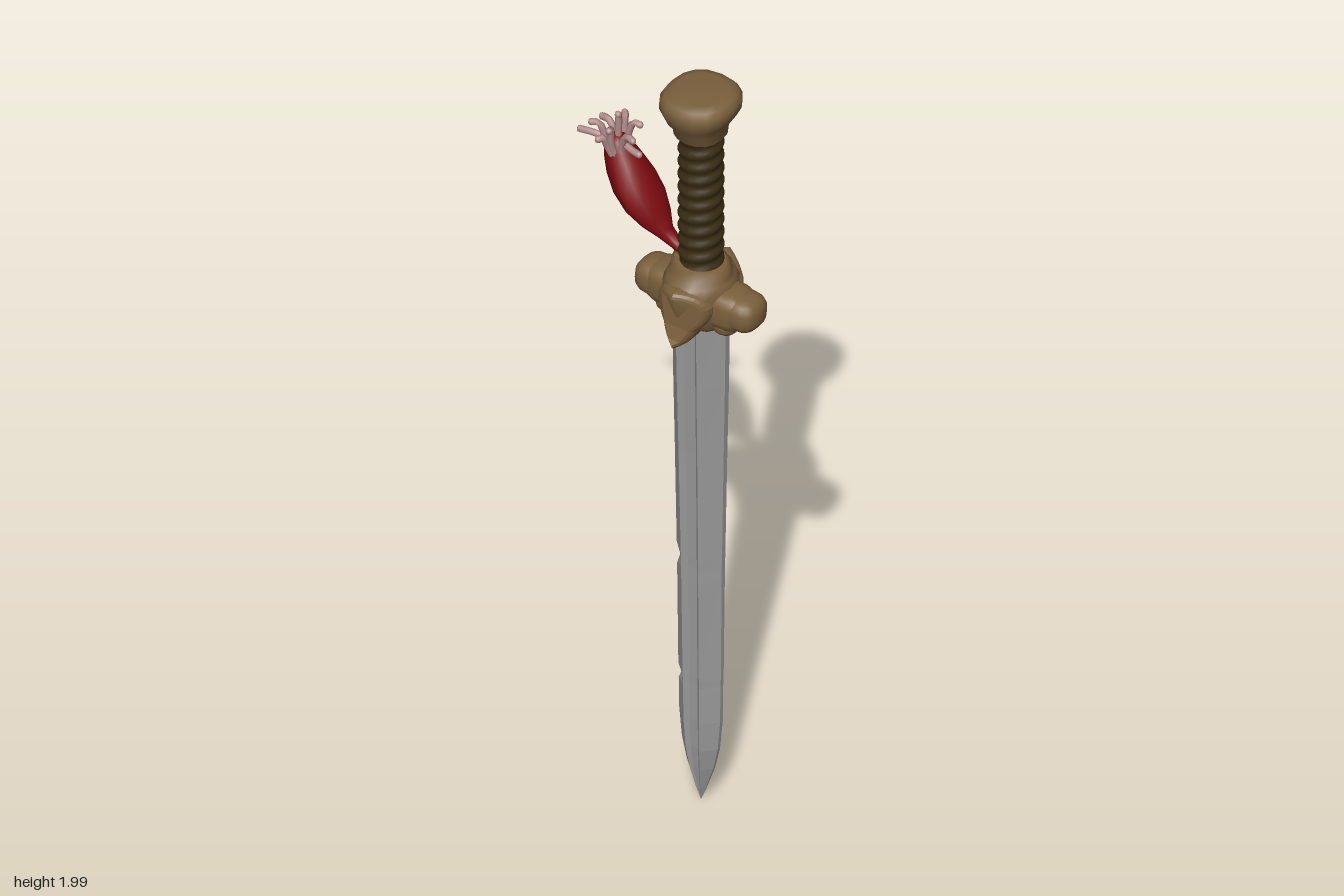
import * as THREE from 'three';

const AXIS = 0.077; // x of the sword's long axis

const mat = (name, color) => Object.assign(new THREE.MeshStandardMaterial({ color }), { name });

// Skin a list of closed rings (each an array of [x, y, z]), with end caps.
function loft(rings) {
  const n = rings[0].length, pos = rings.flat(2), idx = [];
  for (let i = 0; i < rings.length - 1; i++) {
    for (let j = 0; j < n; j++) {
      const k = (j + 1) % n, a = i * n + j, b = i * n + k;
      idx.push(a, a + n, b, b, a + n, b + n);
    }
  }
  for (const end of [0, rings.length - 1]) {
    const c = pos.length / 3;
    for (let q = 0; q < 3; q++) pos.push(rings[end].reduce((s, p) => s + p[q], 0) / n);
    for (let j = 0; j < n; j++) {
      const a = end * n + j, b = end * n + (j + 1) % n;
      if (end) idx.push(c, b, a); else idx.push(c, a, b);
    }
  }
  const g = new THREE.BufferGeometry();
  g.setAttribute('position', new THREE.Float32BufferAttribute(pos, 3));
  g.setIndex(idx);
  g.computeVertexNormals();
  return g;
}

const spow = (v, p) => Math.sign(v) * Math.abs(v) ** p;

// Horizontal rounded rings from rows of [y, rx, rz].
const stack = (rows, p, n = 16) => loft(rows.map(([y, rx, rz]) =>
  Array.from({ length: n }, (_, j) => {
    const a = (j / n) * Math.PI * 2;
    return [rx * spow(Math.cos(a), p), y, rz * spow(Math.sin(a), p)];
  })));

// Rings around a bent path in the xy plane from rows of [x, y, r, rz].
function bentBody(rows, n = 16) {
  return loft(rows.map(([x, y, r, rz], i) => {
    const p = rows[Math.max(i - 1, 0)], q = rows[Math.min(i + 1, rows.length - 1)];
    const l = Math.hypot(q[0] - p[0], q[1] - p[1]);
    const ux = (q[1] - p[1]) / l, uy = -(q[0] - p[0]) / l;
    return Array.from({ length: n }, (_, j) => {
      const a = (j / n) * Math.PI * 2, fold = j % 2 ? 0.93 : 1;
      const c = r * fold * Math.cos(a);
      return [x + ux * c, y + uy * c, rz * fold * Math.sin(a)];
    });
  }));
}

// Sphere squared off by p below 1.
function blob(rx, ry, rz, p = 0.8) {
  const g = new THREE.SphereGeometry(1, 16, 12), v = g.attributes.position;
  for (let i = 0; i < v.count; i++) {
    v.setXYZ(i, rx * spow(v.getX(i), p), ry * spow(v.getY(i), p), rz * spow(v.getZ(i), p));
  }
  g.computeVertexNormals();
  return g;
}

export function createModel() {
  const steel = mat('steel', 0x999999);
  steel.flatShading = true;
  const bronze = mat('bronze', 0x7a5f3c);
  const leather = mat('leather', 0x3a2d14);
  const red = mat('redCloth', 0x7d0b10);
  const pale = mat('paleThread', 0xb48e8c);

  const model = new THREE.Group();
  const sword = new THREE.Group();
  sword.name = 'sword';
  sword.position.x = AXIS;
  model.add(sword);
  const add = (parent, name, geo, m, x = 0, y = 0, z = 0) => {
    const mesh = new THREE.Mesh(geo, m);
    mesh.name = name;
    mesh.position.set(x, y, z);
    parent.add(mesh);
    return mesh;
  };

  // Blade: two ridges with a groove between on each face, nicks on one edge
  const half = [[1, 0.14], [0.38, 1], [0.2, 0.76], [-0.2, 0.76], [-0.38, 1], [-1, 0.14]];
  const section = [...half, ...half.map(([x, z]) => [-x, -z])];
  const bladeRows = [
    [0.01, 0.001, 0.001], [0.05, 0.016, 0.012], [0.11, 0.036, 0.025], [0.17, 0.049, 0.034],
    [0.25, 0.056, 0.038], [0.33, 0.057, 0.039], [0.35, 0.057, 0.039, 0.008],
    [0.37, 0.058, 0.04], [0.65, 0.061, 0.044], [0.68, 0.061, 0.044, 0.009],
    [0.71, 0.062, 0.045], [1.0, 0.067, 0.051], [1.2, 0.071, 0.056], [1.42, 0.074, 0.06],
  ];
  add(sword, 'blade', loft(bladeRows.map(([y, w, t, nick = 0]) =>
    section.map(([x, z]) => [x * w + (x === -1 ? nick : 0), y, z * t]))), steel);

  // Grip: cylinder with a spiral wrap
  const grip = new THREE.CylinderGeometry(0.05, 0.05, 0.4, 24, 64, true);
  const gp = grip.attributes.position;
  for (let i = 0; i < gp.count; i++) {
    const x = gp.getX(i), y = gp.getY(i), z = gp.getZ(i);
    const s = 1 + 0.06 * Math.sin(y * 2 * Math.PI / 0.036 + Math.atan2(z, x));
    gp.setXYZ(i, x * s, y, z * s);
  }
  grip.computeVertexNormals();
  add(sword, 'grip', grip, leather, 0, 1.7);

  // Pommel
  add(sword, 'pommel', stack([
    [1.878, 0.05, 0.05], [1.885, 0.058, 0.06], [1.91, 0.06, 0.066], [1.935, 0.075, 0.085],
    [1.96, 0.088, 0.093], [1.98, 0.088, 0.093], [1.994, 0.078, 0.082], [2.0, 0.06, 0.062],
  ], 0.85), bronze);

  // Guard: central block, two arms, and a drooping shield front and back
  const guard = new THREE.Group();
  guard.name = 'guard';
  sword.add(guard);
  add(guard, 'guardCore', stack([
    [1.365, 0.068, 0.06], [1.38, 0.08, 0.075], [1.42, 0.09, 0.095], [1.47, 0.088, 0.1],
    [1.492, 0.078, 0.088], [1.5, 0.074, 0.07], [1.52, 0.072, 0.066], [1.528, 0.06, 0.056],
  ], 1.15), bronze);
  for (const s of [1, -1]) {
    add(guard, 'guardArm', blob(0.075, 0.05, 0.054, 0.65), bronze, s * 0.065, 1.43);
    add(guard, 'armKnob', blob(0.047, 0.043, 0.05, 0.75), bronze, s * 0.118, 1.432);
    add(guard, 'armTip', blob(0.03, 0.034, 0.034, 0.7), bronze, s * 0.135, 1.432);
    add(guard, 'armLowerKnob', blob(0.03, 0.028, 0.045), bronze, s * 0.078, 1.388);
  }
  const shield = new THREE.Shape();
  shield.moveTo(0, 1.352);
  shield.quadraticCurveTo(0.025, 1.365, 0.032, 1.395);
  shield.quadraticCurveTo(0.06, 1.42, 0.058, 1.45);
  shield.quadraticCurveTo(0.045, 1.478, 0, 1.482);
  shield.quadraticCurveTo(-0.045, 1.478, -0.058, 1.45);
  shield.quadraticCurveTo(-0.06, 1.42, -0.032, 1.395);
  shield.quadraticCurveTo(-0.025, 1.365, 0, 1.352);
  const shieldGeo = new THREE.ExtrudeGeometry(shield, {
    depth: 0.035, bevelThickness: 0.018, bevelSize: 0.012, bevelSegments: 3, curveSegments: 6,
  });
  // pull the shield's sides back so that its middle stands proud
  const sp = shieldGeo.attributes.position;
  for (let i = 0; i < sp.count; i++) sp.setZ(i, sp.getZ(i) - Math.abs(sp.getX(i)) * 0.6);
  shieldGeo.computeVertexNormals();
  for (const turn of [0, Math.PI]) {
    const m = add(guard, 'guardShield', shieldGeo, bronze, 0, 0, turn ? -0.063 : 0.063);
    m.rotation.y = turn;
  }

  // Tassel: cord and swollen bundle in red, loose pale threads at the end
  const tassel = new THREE.Group();
  tassel.name = 'tassel';
  model.add(tassel);
  add(tassel, 'tasselBundle', bentBody([
    [0.045, 1.52, 0.012, 0.012], [0.01, 1.54, 0.014, 0.015], [-0.02, 1.56, 0.018, 0.024],
    [-0.045, 1.588, 0.032, 0.044], [-0.075, 1.625, 0.043, 0.06], [-0.105, 1.665, 0.047, 0.06],
    [-0.13, 1.705, 0.045, 0.048], [-0.147, 1.74, 0.037, 0.036], [-0.155, 1.765, 0.026, 0.027],
    [-0.158, 1.775, 0.012, 0.012],
  ]), red);
  const tips = [
    [-0.238, 1.768, 0.022], [-0.21, 1.787, -0.024], [-0.2, 1.81, 0.032], [-0.163, 1.805, -0.045],
    [-0.165, 1.79, 0.056], [-0.15, 1.832, 0.0], [-0.14, 1.82, 0.05], [-0.09, 1.8, 0.028],
    [-0.08, 1.76, 0.018], [-0.1, 1.815, -0.015],
  ];
  for (const [x, y, z] of tips) {
    const dx = x + 0.145;
    const path = new THREE.CatmullRomCurve3([
      new THREE.Vector3(-0.135 + dx * 0.12, 1.715, z * 0.4),
      new THREE.Vector3(-0.147 + dx * 0.35, 1.765, z * 0.65),
      new THREE.Vector3(-0.145 + dx * 0.68, y + 0.002, z * 0.85),
      new THREE.Vector3(x, y, z),
    ]);
    add(tassel, 'tasselThread', new THREE.TubeGeometry(path, 10, 0.0085, 6), pale);
    add(tassel, 'threadTip', new THREE.SphereGeometry(0.0085, 6, 4), pale, x, y, z);
  }
  return model;
}
